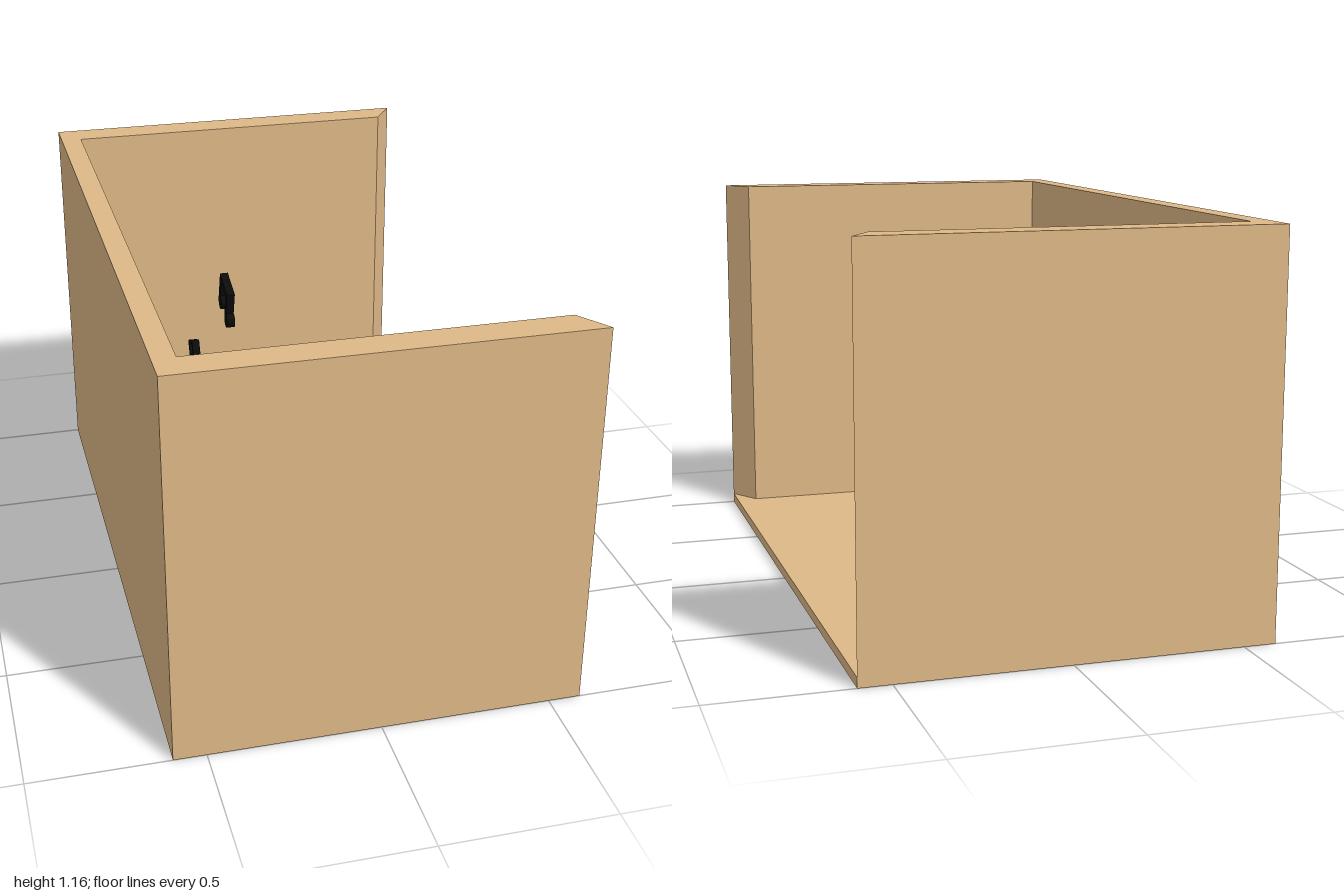
import * as THREE from 'three';

const wood = new THREE.MeshStandardMaterial({ color: 0xdeb887 });
const black = new THREE.MeshStandardMaterial({ color: 0x0c0c0c });
const X = 0.595, Z = 1, H = 1.165, FLOOR = 0.03;

const polygon = pts => new THREE.Shape(pts.map(p => new THREE.Vector2(...p)));

function addMesh(parent, name, geometry, material) {
  const mesh = new THREE.Mesh(geometry, material);
  mesh.name = name;
  parent.add(mesh);
  return mesh;
}

// A pair of beamed notes facing +x; its origin is the beam's top left corner
function beamedNotes({ width, stem, beam, line, head }) {
  const note = new THREE.Group();
  const depth = 0.025;
  const frame = polygon([
    [0, 0], [0, -stem], [line, -stem], [line, -beam],
    [width - line, -beam], [width - line, -stem], [width, -stem], [width, 0],
  ]);
  const geometry = new THREE.ExtrudeGeometry(frame, { depth, bevelEnabled: false });
  addMesh(note, 'stemsAndBeam', geometry.translate(0, 0, -depth / 2), black);
  for (const edge of [line, width]) {
    const disc = new THREE.CylinderGeometry(head, head, depth, 24).rotateX(Math.PI / 2);
    addMesh(note, 'noteHead', disc, black).position.set(edge - head, -stem, 0);
  }
  return note;
}

export function createModel() {
  const model = new THREE.Group();

  // Floor slab
  addMesh(model, 'floor', new THREE.BoxGeometry(2 * X, FLOOR, 2 * Z), wood)
    .position.y = FLOOR / 2;

  // Back and end walls in one U, with slanted ends at the open side
  const inX = 0.53, inZ = 0.9;
  const plan = polygon([
    [X, -Z], [inX, -inZ], [-inX, -inZ], [-inX, inZ],
    [inX, inZ], [X, Z], [-X, Z], [-X, -Z],
  ]);
  const walls = new THREE.ExtrudeGeometry(plan, { depth: H - FLOOR, bevelEnabled: false });
  addMesh(model, 'walls', walls.rotateX(-Math.PI / 2), wood).position.y = FLOOR;

  // Floating notes: two sizes, each with its own tilt
  const large = { width: 0.107, stem: 0.098, beam: 0.024, line: 0.018, head: 0.023, tilt: 0.305 };
  const small = { width: 0.075, stem: 0.067, beam: 0.014, line: 0.012, head: 0.016, tilt: -0.4 };
  const notes = [
    [large, 0, 0.754, 0.449], [large, -0.195, 0.909, -0.037], [large, 0, 0.439, -0.291],
    [small, 0.27, 0.578, 0.262], [small, 0, 0.647, -0.043], [small, -0.235, 0.578, -0.449],
  ];
  for (const [size, x, y, z] of notes) {
    const note = beamedNotes(size);
    note.name = size === large ? 'largeNotes' : 'smallNotes';
    note.rotation.set(0, Math.PI / 2, size.tilt);
    note.position.set(x, y, z);
    model.add(note);
  }
  return model;
}
